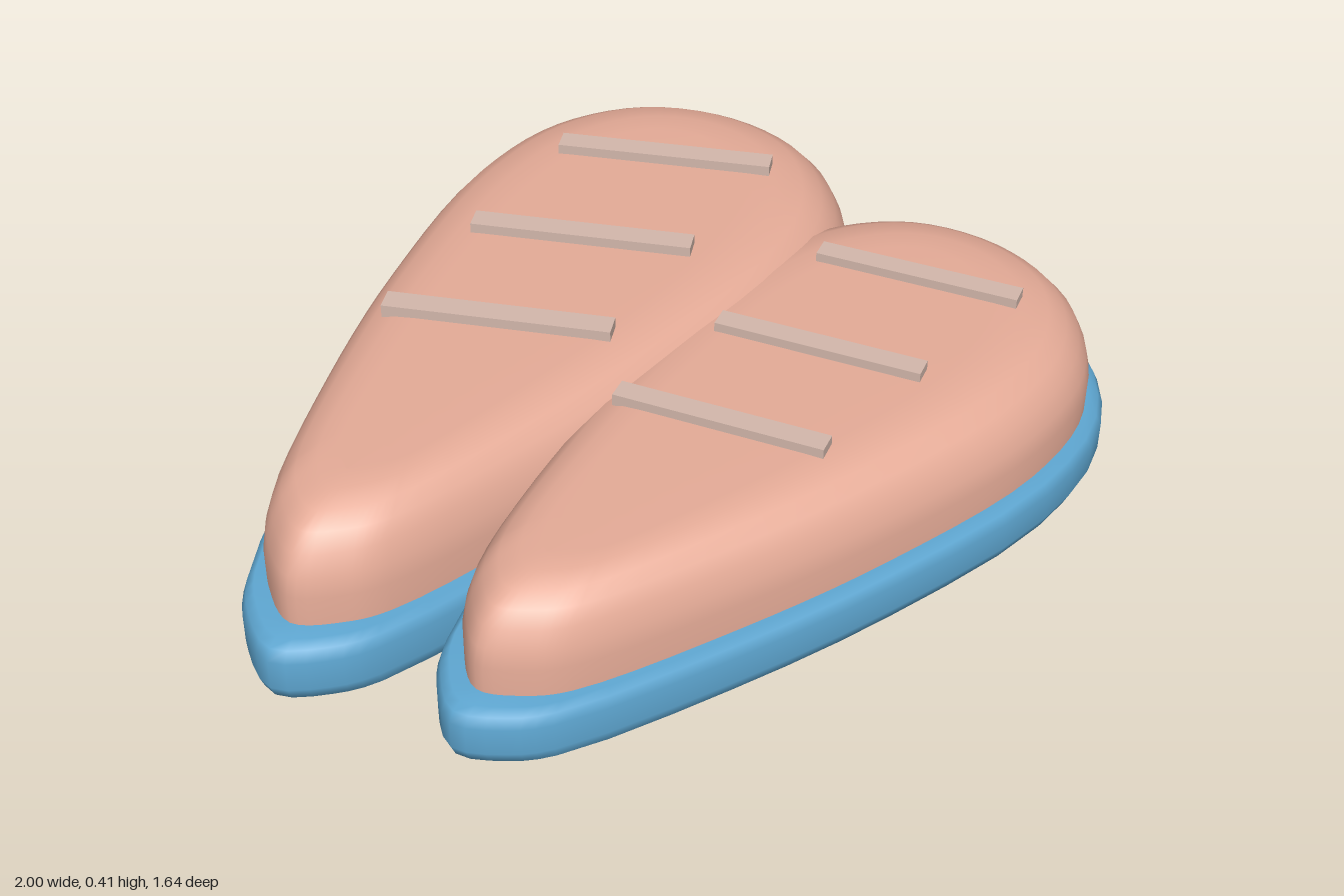
import * as THREE from 'three';

const blue = new THREE.MeshStandardMaterial({ color: 0x5fa8d3 });
blue.name = 'trayBlue';
const pink = new THREE.MeshStandardMaterial({ color: 0xe6ac98 });
pink.name = 'filletPink';
const pale = new THREE.MeshStandardMaterial({ color: 0xd4b8ac });
pale.name = 'stripePale';

// Teardrop outline: distance along the axis from the tip, and half width
const LENGTH = 2.01, HALF = 0.502;
const side = [[0.06, 0.1], [0.14, 0.165], [0.54, 0.315], [0.96, 0.43], [1.44, HALF], [1.74, 0.447], [1.94, 0.27]];
const outline = new THREE.CatmullRomCurve3([
  new THREE.Vector3(0, 0, 0),
  ...side.map(([u, w]) => new THREE.Vector3(u, 0, w)),
  new THREE.Vector3(LENGTH, 0, 0),
  ...[...side].reverse().map(([u, w]) => new THREE.Vector3(u, 0, -w)),
], true, 'centripetal');

// Stacks inset copies of the outline; each layer is [tip inset, end inset, side inset, height]
function leafSolid(layers, count) {
  const ring = outline.getPoints(count).slice(0, count);
  const positions = [], index = [];
  layers.forEach(([tip, end, inset, y], j) => {
    for (const p of ring) {
      positions.push(tip + p.x * (LENGTH - tip - end) / LENGTH, y, p.z * (HALF - inset) / HALF);
    }
    if (j === 0) return;
    for (let i = 0; i < count; i++) {
      const a = (j - 1) * count + i, b = (j - 1) * count + (i + 1) % count;
      index.push(a, b, b + count, a, b + count, a + count);
    }
  });
  const geometry = new THREE.BufferGeometry();
  geometry.setAttribute('position', new THREE.Float32BufferAttribute(positions, 3));
  geometry.setIndex(index);
  geometry.computeVertexNormals();
  return geometry;
}

function mesh(name, geometry, material) {
  const m = new THREE.Mesh(geometry, material);
  m.name = name;
  return m;
}

function createFillet(name) {
  const group = new THREE.Group();
  group.name = name;

  // Rounded tray, closed along its spine below and above
  const trayProfile = [[0.035, 0.004], [0.012, 0.016], [0, 0.045], [0, 0.115], [0.012, 0.142], [0.035, 0.155]];
  const tray = trayProfile.map(([d, y]) => [d, d, d, y]);
  tray.unshift([0.1, 0.1, HALF, 0.004]);
  tray.push([0.1, 0.1, HALF, 0.155]);
  group.add(mesh('tray', leafSolid(tray, 48), blue));

  // Fillet with steep sides and a soft shoulder
  const meatProfile = [[0, 0.14], [0, 0.225], [0.01, 0.27], [0.03, 0.315], [0.06, 0.35], [0.1, 0.375], [0.16, 0.388], [0.22, 0.39]];
  const meat = meatProfile.map(([d, y]) => [0.08 + d, 0.045 + d, 0.04 + d, y]);
  meat.push([0.3, 0.27, HALF, 0.39]);
  group.add(mesh('fillet', leafSolid(meat, 80), pink));

  // Slanted stripes across the top
  for (const [u, v] of [[0.867, -0.012], [1.226, -0.02], [1.609, -0.024]]) {
    const stripe = mesh('stripe', new THREE.BoxGeometry(0.055, 0.03, 0.5), pale);
    stripe.position.set(u, 0.398, v);
    stripe.rotation.y = 0.33;
    group.add(stripe);
  }
  return group;
}

export function createModel() {
  const model = new THREE.Group();
  model.name = 'filletPair';

  const back = createFillet('largeFillet');
  back.position.set(-1, 0, -0.15);
  back.rotation.y = 0.119;

  const front = createFillet('smallFillet');
  front.position.set(-0.905, 0, 0.235);
  front.rotation.y = -0.09;
  front.scale.setScalar(0.92);

  model.add(back, front);
  return model;
}
